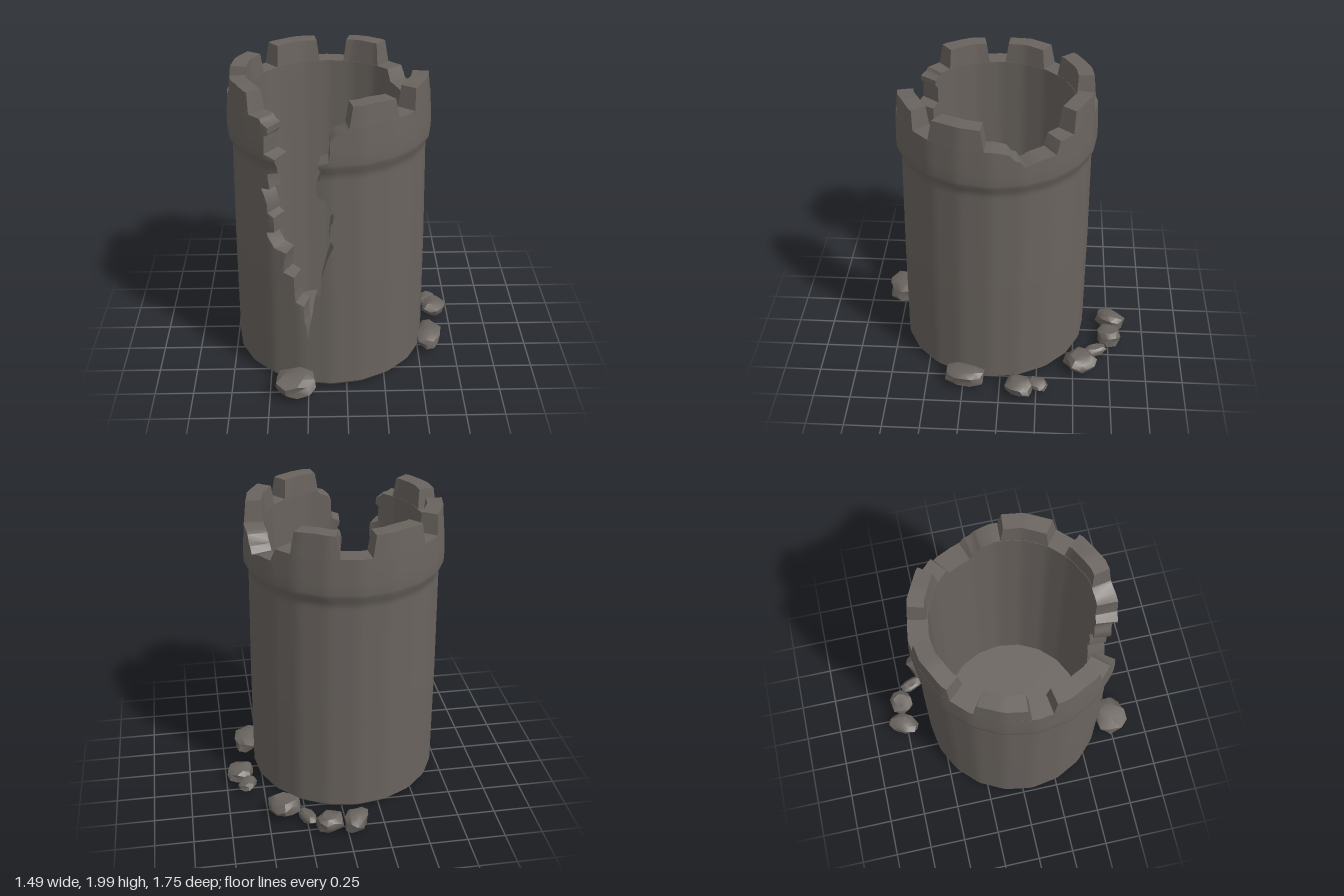
import * as THREE from 'three';
import { mergeVertices, toCreasedNormals } from 'three/addons/utils/BufferGeometryUtils.js';

const CX = -0.1, CZ = 0.058, SIDES = 20, INNER = 0.51;
const DEG = Math.PI / 180;

// piecewise linear lookup in a list of [key, value]
function lookup(table, k) {
  if (k <= table[0][0]) return table[0][1];
  for (let i = 1; i < table.length; i++) {
    const [k0, v0] = table[i - 1], [k1, v1] = table[i];
    if (k <= k1) return v0 + (v1 - v0) * (k - k0) / (k1 - k0);
  }
  return table[table.length - 1][1];
}

// outer radius by height: chamfered foot, slight taper, swollen collar
const PROFILE = [[0.01, 0.605], [0.04, 0.634], [0.8, 0.63], [1.52, 0.618], [1.56, 0.622],
  [1.6, 0.647], [1.66, 0.649], [1.85, 0.636], [2, 0.622]];

// breach in the front wall: height, left edge x, right edge x
const BREACH = [
  [0.36, -0.25, -0.25], [0.48, -0.26, -0.235], [0.5, -0.27, -0.23], [0.62, -0.27, -0.21],
  [0.64, -0.32, -0.21], [0.7, -0.33, -0.2], [0.72, -0.33, -0.165], [0.82, -0.33, -0.16],
  [0.84, -0.4, -0.16], [0.94, -0.39, -0.13], [0.98, -0.38, -0.12], [1.0, -0.45, -0.11],
  [1.06, -0.49, -0.08], [1.09, -0.5, -0.09], [1.11, -0.45, -0.11], [1.21, -0.45, -0.1],
  [1.23, -0.49, -0.085], [1.28, -0.49, -0.08], [1.34, -0.51, -0.12], [1.38, -0.53, -0.13],
  [1.4, -0.47, -0.18], [1.46, -0.48, -0.19], [1.5, -0.48, -0.18], [1.52, -0.42, -0.16],
  [1.56, -0.42, -0.15], [1.6, -0.42, -0.17], [1.62, -0.42, -0.17], [1.64, -0.48, -0.11],
  [1.7, -0.48, -0.1], [1.75, -0.48, -0.1], [1.77, -0.46, -0.1], [1.81, -0.46, -0.06],
  [1.83, -0.5, 0.0], [1.85, -0.51, 0.02]];

// broken stretch of the parapet: angle in degrees, wall top
const NOTCH = [[312, 1.85], [321, 1.85], [322.5, 1.77], [337, 1.755], [339, 1.73], [342, 1.74],
  [344, 1.78], [348, 1.79], [350, 1.83], [358, 1.85]];

// distance to a many-sided outline
function facet(r, a) {
  const step = 2 * Math.PI / SIDES;
  const m = ((a % step) + step) % step - step / 2;
  return r * Math.cos(step / 2) / Math.cos(m) * 1.006;
}

function place(r, a, y) {
  return [CX + r * Math.cos(a), y, CZ + 0.008 * (1 - y) + r * Math.sin(a)];
}

function wallGeometry() {
  const COLS = 120, start = Math.acos(-0.15 / 0.63);
  const rows = [[0.01, -0.25, -0.25], [0.04, -0.25, -0.25], [0.2, -0.25, -0.25], ...BREACH];
  const R = rows.length, L = 2 * R;
  const pos = [], index = [];
  for (let i = 0; i <= COLS; i++) {
    for (let j = 0; j < L; j++) {
      const outer = j < R;
      const [h, xl, xr] = rows[outer ? j : L - 1 - j];
      const aL = Math.acos((xl - CX) / 0.63), aR = Math.acos((xr - CX) / 0.63) + 2 * Math.PI;
      const a = Math.min(Math.max(start + 2 * Math.PI * i / COLS, aL), aR);
      const y = Math.min(h, lookup(NOTCH, (a / DEG) % 360));
      pos.push(...place(facet(outer ? lookup(PROFILE, y) : INNER, a), a, y));
    }
  }
  for (let i = 0; i < COLS; i++) {
    for (let j = 0; j < L; j++) {
      const k = (j + 1) % L;
      const a = i * L + j, b = i * L + k, c = a + L, d = b + L;
      index.push(a, b, c, b, d, c);
    }
  }
  // broken ends on both sides of the breach
  for (let j = 0; j < R - 1; j++) {
    const o = j, o2 = j + 1, n = L - 1 - j, n2 = L - 2 - j, e = COLS * L;
    index.push(o, n, o2, n, n2, o2);
    index.push(e + o, e + o2, e + n, e + n, e + o2, e + n2);
  }
  const g = new THREE.BufferGeometry();
  g.setAttribute('position', new THREE.Float32BufferAttribute(pos, 3));
  g.setIndex(index);
  return toCreasedNormals(g, 0.6);
}

// tapered curved block standing on the wall, angles in degrees
function merlonGeometry(a0, a1, top) {
  const g = new THREE.BoxGeometry(1, 1, 1, 10, 1, 1);
  const p = g.attributes.position;
  for (let i = 0; i < p.count; i++) {
    const up = p.getY(i) + 0.5;
    const taper = 2.5 * up;
    const a = (a1 - taper + (a0 - a1 + 2 * taper) * (p.getX(i) + 0.5)) * DEG;
    const y = 1.82 + (top - 1.82) * up - up * 0.012 * Math.abs(p.getX(i));
    const r = p.getZ(i) > 0 ? lookup(PROFILE, y) : INNER + 0.012 * up;
    p.setXYZ(i, ...place(facet(r, a), a, y));
  }
  return toCreasedNormals(g, 0.6);
}

// rounded, slightly boxy rubble stone with a flattened underside
function stoneGeometry(hx, hy, hz, seed) {
  let g = new THREE.IcosahedronGeometry(1, 1);
  g.deleteAttribute('uv');
  g.deleteAttribute('normal');
  g = mergeVertices(g);
  const p = g.attributes.position, v = new THREE.Vector3();
  for (let i = 0; i < p.count; i++) {
    v.fromBufferAttribute(p, i);
    const box = Math.pow(v.x ** 4 + v.y ** 4 + v.z ** 4, -0.25);
    v.multiplyScalar(box * (0.93 + 0.1 * Math.sin(seed * 7.3 + i * 2.4)));
    v.clampScalar(-0.95, 1);
    p.setXYZ(i, v.x * hx, v.y * hy, v.z * hz);
  }
  return toCreasedNormals(g, 0.55);
}

export function createModel() {
  const model = new THREE.Group();
  const stone = new THREE.MeshStandardMaterial({ color: 0x69635e });
  stone.name = 'grey stone';
  const add = (geometry, name) => {
    const mesh = new THREE.Mesh(geometry, stone);
    mesh.name = name;
    model.add(mesh);
    return mesh;
  };

  add(wallGeometry(), 'towerWall');

  // floor disc closing the foot of the tower
  add(new THREE.CylinderGeometry(0.53, 0.53, 0.02, 40), 'floor').position.set(CX, 0.022, CZ + 0.008);

  // battlements: start angle, end angle, top
  [[3, 37, 1.99], [49, 80, 1.98], [139, 172, 1.985], [183, 215, 1.985],
    [228, 264, 1.995], [281, 310, 2]].forEach(([a0, a1, top]) => add(merlonGeometry(a0, a1, top), 'merlon'));

  // fallen stones: x, y, z, half sizes, turn
  [[-0.06, 0.07, -0.77, 0.07, 0.062, 0.105, -0.5],
    [0.11, 0.07, -0.757, 0.088, 0.058, 0.08, 0.2],
    [0.245, 0.048, -0.655, 0.045, 0.03, 0.085, 0.35],
    [0.39, 0.08, -0.55, 0.1, 0.056, 0.105, 0.5],
    [0.61, 0.06, -0.255, 0.055, 0.035, 0.072, -0.4],
    [0.65, 0.075, -0.135, 0.085, 0.05, 0.095, -0.3],
    [0.575, 0.088, 0.235, 0.085, 0.06, 0.135, -0.15],
    [-0.34, 0.09, 0.755, 0.132, 0.072, 0.115, 0.15],
  ].forEach(([x, y, z, hx, hy, hz, turn], i) => {
    const mesh = add(stoneGeometry(hx, hy, hz, i + 1), 'fallenStone');
    mesh.position.set(x, y, z);
    mesh.rotation.y = turn;
  });

  return model;
}
